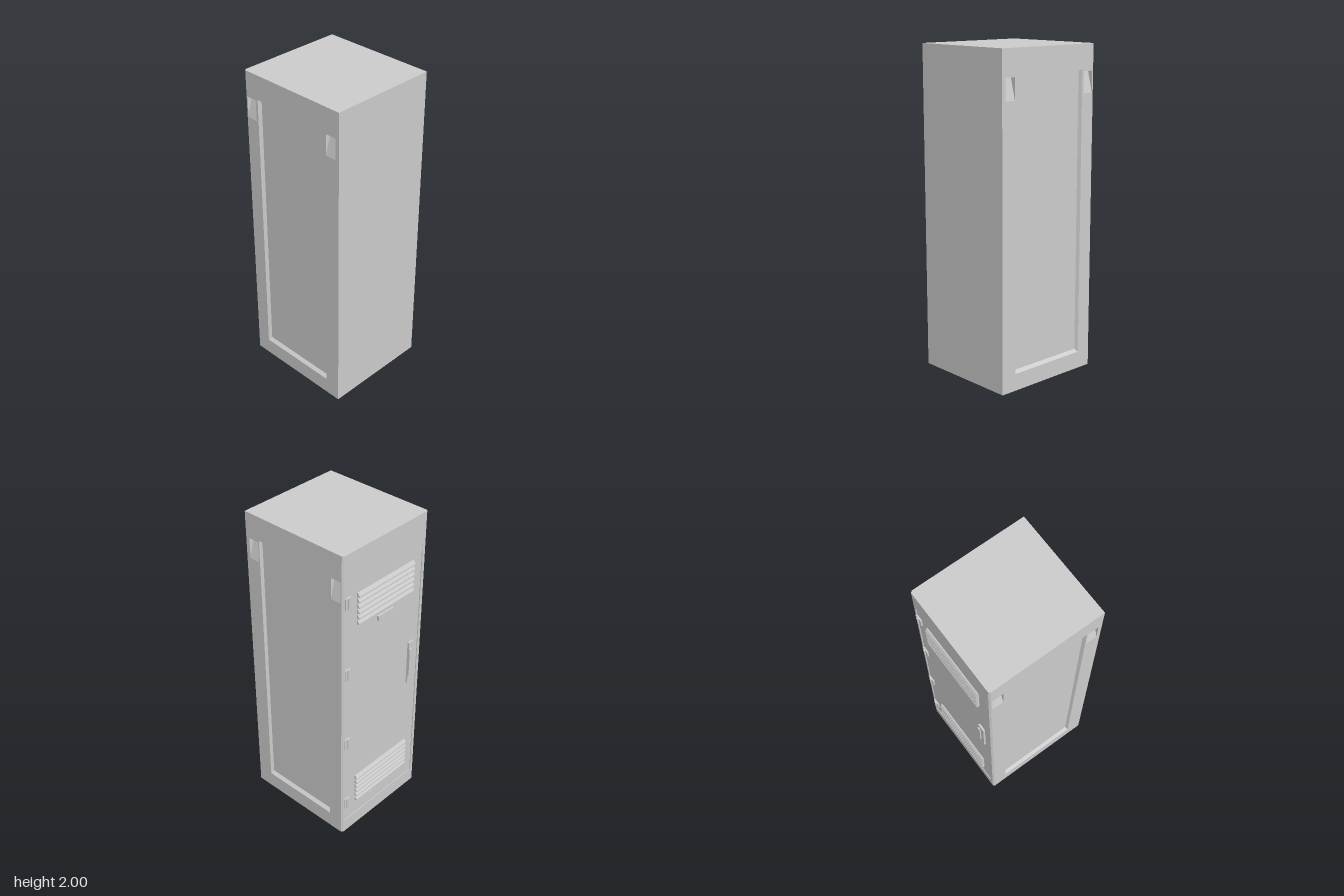
import * as THREE from 'three';

const grey = new THREE.MeshStandardMaterial({ color: 0xcccccc });
grey.name = 'painted grey steel';

function part(name, geometry, parent) {
  const m = new THREE.Mesh(geometry, grey);
  m.name = name;
  parent.add(m);
  return m;
}

const toShape = (pts) => new THREE.Shape(pts.map(([a, b]) => new THREE.Vector2(a, b)));
const rect = (x0, y0, x1, y1) => [[x0, y0], [x1, y0], [x1, y1], [x0, y1]];
const extrude = (shape, depth) =>
  new THREE.ExtrudeGeometry(shape, { depth, bevelEnabled: false });

// Box given by its limits
function box(x0, x1, y0, y1, z0, z1) {
  return new THREE.BoxGeometry(x1 - x0, y1 - y0, z1 - z0)
    .translate((x0 + x1) / 2, (y0 + y1) / 2, (z0 + z1) / 2);
}

// Flat quads, corners counter-clockwise
function quads(list) {
  const pos = [];
  for (const [a, b, c, d] of list) pos.push(...a, ...b, ...c, ...a, ...c, ...d);
  const g = new THREE.BufferGeometry();
  g.setAttribute('position', new THREE.Float32BufferAttribute(pos, 3));
  g.computeVertexNormals();
  return g;
}

// Wide side: slab with a sunken panel and two tapering finger notches
function buildSide(name) {
  const side = new THREE.Group();
  side.name = name;
  const back = 0.312, face = 0.347, floor = 0.327;
  const outer = rect(-0.26, 0.105, 0.272, 1.85);
  const inner = rect(-0.249, 0.122, 0.265, 1.85);
  const notches = [[-0.345, -0.275], [0.28, 0.35]];

  const slab = toShape(rect(-0.353, 0, 0.375, 2));
  slab.holes.push(toShape(outer));
  for (const [x0, x1] of notches) slab.holes.push(toShape(rect(x0, 1.71, x1, 1.84)));
  part('sideFrame', extrude(slab, face - back).translate(0, 0, back), side);

  // Sunken panel with sloping borders
  const faces = [inner.map(([x, y]) => [x, y, floor])];
  for (let i = 0; i < 4; i++) {
    const j = (i + 1) % 4;
    faces.push([[...outer[i], face], [...outer[j], face], [...inner[j], floor], [...inner[i], floor]]);
  }
  part('sunkenPanel', quads(faces), side);

  // Notch ramps, deepest at the top
  for (const [x0, x1] of notches) {
    part('notchRamp', quads([[
      [x0, 1.71, face], [x1, 1.71, face], [x1, 1.84, back + 0.001], [x0, 1.84, back + 0.001],
    ]]), side);
  }
  return side;
}

// Row of downward-opening vent slats
function buildVent(name, y0) {
  const vent = new THREE.Group();
  vent.name = name;
  const pitch = 0.035, slatHeight = 0.027;
  const profile = toShape([[-0.357, 0], [-0.357, slatHeight], [-0.364, slatHeight], [-0.376, 0.008], [-0.376, 0]]);
  for (let i = 0; i < 6; i++) {
    part('ventSlat', extrude(profile, 0.47).translate(0, y0 + i * pitch, -0.23), vent);
  }
  return vent;
}

export function createModel() {
  const locker = new THREE.Group();
  locker.name = 'locker';

  // Core with chamfered corners on the door side
  const half = [[-0.358, 0.337], [-0.363, 0.337], [-0.353, 0.347], [-0.353, 0.312], [0.375, 0.312]];
  const plan = [...half, ...half.map(([x, z]) => [x, -z]).reverse()];
  part('cabinetBody', extrude(toShape(plan), 2).rotateX(-Math.PI / 2), locker);

  // Panelled sides, mirrored
  locker.add(buildSide('frontSide'));
  const rear = buildSide('rearSide');
  rear.scale.z = -1;
  locker.add(rear);

  // Door surround with a stepped top edge; the door lies slightly sunken in it
  const frame = toShape(rect(-0.337, 0, 0.337, 2));
  frame.holes.push(toShape([
    [-0.325, 0.093], [0.315, 0.093], [0.315, 1.768], [0.13, 1.768], [0.05, 1.825], [-0.325, 1.825],
  ]));
  part('doorSurround', extrude(frame, 0.005).rotateY(-Math.PI / 2).translate(-0.358, 0, 0), locker);
  part('doorSurroundEdge', box(-0.3635, -0.36, 1.768, 1.84, 0.313, 0.317), locker);

  // Vents
  locker.add(buildVent('upperVent', 1.527));
  locker.add(buildVent('lowerVent', 0.203));

  // Name card holder and small stud
  part('cardHolder', box(-0.371, -0.357, 1.468, 1.498, -0.06, 0.07), locker);
  part('stud', box(-0.363, -0.357, 0.16, 0.168, -0.1, -0.07), locker);

  // Handle: backing plate with a raised grip
  const handle = new THREE.Group();
  handle.name = 'handle';
  part('handlePlate', box(-0.37, -0.357, 0.87, 1.165, 0.227, 0.277), handle);
  part('handleGrip', box(-0.378, -0.369, 0.93, 1.12, 0.227, 0.25), handle);
  locker.add(handle);

  // Hinges: leaf and barrel
  for (const y of [1.7, 1.225, 0.715, 0.235]) {
    const hinge = new THREE.Group();
    hinge.name = 'hinge';
    part('hingeLeaf', box(-0.368, -0.357, y - 0.035, y + 0.035, -0.33, -0.282), hinge);
    part('hingeBarrel', new THREE.CylinderGeometry(0.006, 0.006, 0.07, 10)
      .translate(-0.37, y, -0.307), hinge);
    locker.add(hinge);
  }

  return locker;
}
